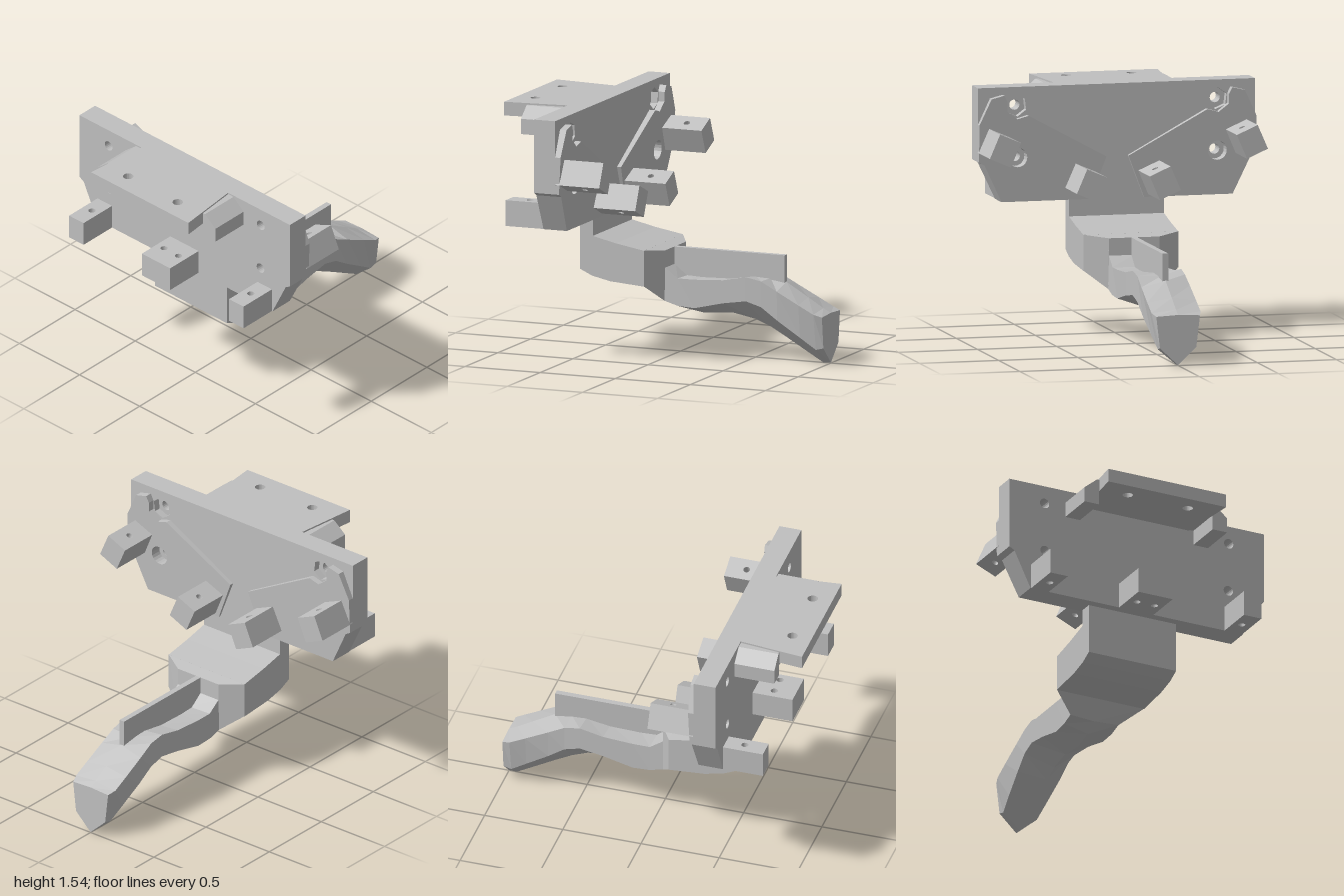
import * as THREE from 'three';

const grey = new THREE.MeshStandardMaterial({ color: 0xc0c0c0 });
grey.name = 'plain grey';

function ring(x, y, r, sides = 20, turn = 0) {
  const pts = [];
  for (let i = 0; i < sides; i++) {
    const a = turn + (i / sides) * Math.PI * 2;
    pts.push([x + r * Math.cos(a), y + r * Math.sin(a)]);
  }
  return pts;
}

const toVectors = (pts) => pts.map(([x, y]) => new THREE.Vector2(x, y));

// Outline with holes, extruded from z0 to z1
function panel(pts, holes, z0, z1) {
  const shape = new THREE.Shape(toVectors(pts));
  holes.forEach((h) => shape.holes.push(new THREE.Path(toVectors(h))));
  const g = new THREE.ExtrudeGeometry(shape, { depth: z1 - z0, bevelEnabled: false });
  return g.translate(0, 0, z0);
}

// Outline in x and z with vertical holes, from y0 to y1
function slab(pts, holes, y0, y1) {
  return panel(pts, holes, 0, y1 - y0).rotateX(Math.PI / 2).translate(0, y1, 0);
}

const rect = (x0, x1, z0, z1) => [[x0, z0], [x1, z0], [x1, z1], [x0, z1]];

// Sections run towards -z: z, top half width, top y, top centre y, mid half width, mid y, bottom y
function loft(sections) {
  const rings = sections.map(([z, w, top, mid0, wm, mid, bot]) => [
    [0, mid0, z], [w, top, z], [wm, mid, z], [0, bot, z], [-wm, mid, z], [-w, top, z],
  ]);
  const pos = [];
  const n = 6;
  const tri = (a, b, c) => pos.push(...a, ...b, ...c);
  for (let i = 0; i + 1 < rings.length; i++) {
    for (let j = 0; j < n; j++) {
      const k = (j + 1) % n;
      const [a, b, c, d] = [rings[i][j], rings[i][k], rings[i + 1][k], rings[i + 1][j]];
      tri(a, b, c);
      tri(a, c, d);
    }
  }
  const first = rings[0], last = rings[rings.length - 1];
  for (let j = 4; j < 8; j++) {
    tri(last[3], last[j % n], last[(j + 1) % n]);
    tri(first[3], first[(j + 1) % n], first[j % n]);
  }
  const g = new THREE.BufferGeometry();
  g.setAttribute('position', new THREE.Float32BufferAttribute(pos, 3));
  g.computeVertexNormals();
  return g;
}

export function createModel() {
  const model = new THREE.Group();
  const add = (name, geometry) => {
    const m = new THREE.Mesh(geometry, grey);
    m.name = name;
    model.add(m);
    return m;
  };

  // Mounting plate: small bolt holes in front, nut pockets behind
  const half = [[0.875, 1.545], [0.875, 1.09], [0.84, 1.07], [0.73, 0.84]];
  const outline = [...half, ...half.map(([x, y]) => [-x, y]).reverse()];
  const bolts = [], pockets = [];
  for (const s of [-1, 1]) {
    bolts.push(ring(s * 0.633, 1.43, 0.032), ring(s * 0.63, 1.113, 0.032));
    pockets.push(ring(s * 0.633, 1.43, 0.068, 6, 0.4 * s), ring(s * 0.63, 1.113, 0.06));
  }
  add('plateFront', panel(outline, bolts, 0.5, 0.595));
  add('plateBack', panel(outline, pockets, 0.455, 0.5));

  // Top shelf and its two holes
  add('shelf', slab(
    [[-0.36, 0.59], [0.36, 0.59], [0.405, 1], [-0.405, 1]],
    [ring(-0.208, 0.878, 0.032), ring(0.204, 0.878, 0.032)], 1.46, 1.545));

  // Centre front lug
  add('centreLug', slab(rect(-0.12, 0.115, 0.59, 0.85),
    [ring(-0.06, 0.715, 0.022), ring(0.06, 0.715, 0.022)], 0.84, 1.0));

  const tilt = 0.41;
  for (const s of [-1, 1]) {
    const side = s > 0 ? 'left' : 'right';
    const mir = (pts) => pts.map(([x, y]) => [s * x, y]);

    // Shelf bracket with sloping shoulder
    add(side + 'Bracket', panel(
      mir([[0.39, 1.37], [0.49, 1.37], [0.49, 1.465], [0.405, 1.535], [0.35, 1.535], [0.35, 1.465], [0.39, 1.465]]),
      [], 0.59, 0.85));

    // Outer front lug
    add(side + 'Lug', slab(mir(rect(0.605, 0.725, 0.59, 0.85)),
      [ring(s * 0.66, 0.715, 0.022)], 0.84, 1.0));

    // Raised slanting pad on the back, thicker towards the top
    const pad = panel(mir([
      [0.07, 1.1], [0.565, 1.37], [0.635, 1.35], [0.7, 1.4], [0.7, 1.46], [0.72, 1.5], [0.8, 1.48],
      [0.875, 1.32], [0.875, 1.09], [0.84, 1.07], [0.73, 0.84], [0.17, 0.84]]),
      [ring(s * 0.63, 1.113, 0.06)], 0.43, 0.456);
    const p = pad.attributes.position;
    for (let i = 0; i < p.count; i++) {
      if (p.getZ(i) < 0.44) p.setZ(i, 0.44 - (p.getY(i) - 0.84) * 0.045);
    }
    pad.computeVertexNormals();
    add(side + 'Pad', pad);

    // Tilted rear blocks
    for (const [name, x, y] of [['OuterBlock', 0.78, 1.195], ['InnerBlock', 0.23, 0.96]]) {
      const block = add(side + name, slab(rect(-0.072, 0.072, 0.16, 0.45),
        [ring(0, 0.285, 0.02)], -0.081, 0.081));
      block.position.set(s * x, y, 0);
      block.rotation.z = s * tilt;
    }
  }

  // Neck below the plate, a side profile carried across the width
  const neck = panel([
    [0.54, 0.86], [0.54, 0.525], [0.46, 0.488], [0.34, 0.462], [0.115, 0.445],
    [0.115, 0.668], [0.3, 0.7], [0.455, 0.735], [0.455, 0.86]], [], -0.3, 0.3);
  add('neck', neck.rotateY(-Math.PI / 2));

  // Arm tapering from the neck to a keeled tip
  add('arm', loft([
    [0.116, 0.3, 0.668, 0.668, 0.3, 0.447, 0.445],
    [0.035, 0.16, 0.652, 0.652, 0.165, 0.34, 0.33],
    [0.034, 0.16, 0.545, 0.545, 0.165, 0.34, 0.33],
    [-0.05, 0.16, 0.485, 0.48, 0.163, 0.315, 0.28],
    [-0.16, 0.16, 0.485, 0.475, 0.16, 0.308, 0.253],
    [-0.35, 0.157, 0.495, 0.48, 0.157, 0.352, 0.268],
    [-0.5, 0.154, 0.525, 0.505, 0.154, 0.375, 0.24],
    [-0.6, 0.15, 0.505, 0.5, 0.15, 0.345, 0.2],
    [-0.705, 0.153, 0.45, 0.485, 0.143, 0.268, 0.143],
    [-0.85, 0.155, 0.376, 0.4, 0.128, 0.17, 0.06],
    [-0.95, 0.155, 0.325, 0.34, 0.115, 0.1, 0.003],
    [-1.0, 0.138, 0.308, 0.315, 0.115, 0.113, 0.005],
  ]));

  // Thin upright fin along the arm
  const fin = new THREE.BoxGeometry(0.036, 0.2, 0.76);
  add('fin', fin.translate(0, 0.552, -0.32));

  return model;
}
